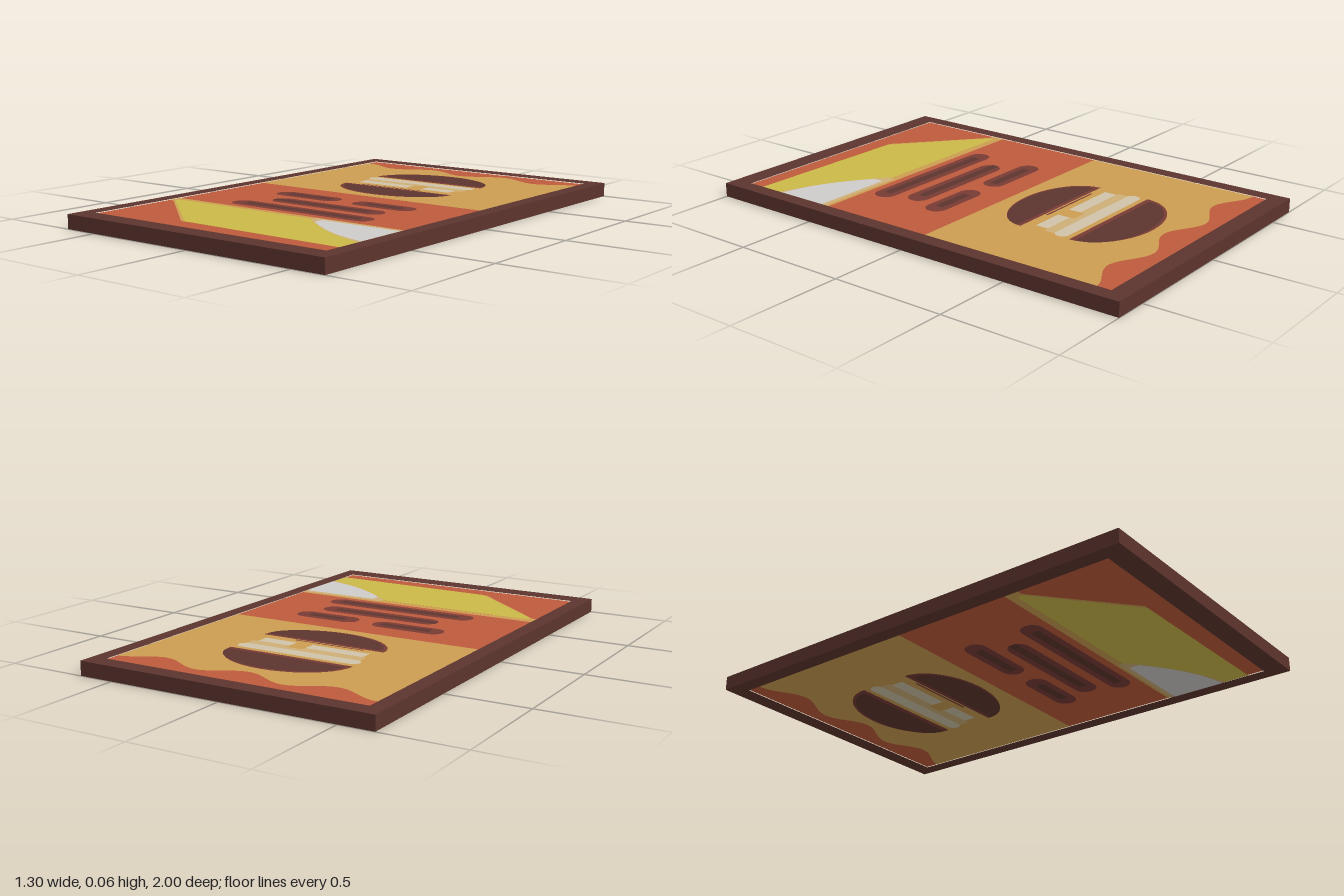
import * as THREE from 'three';

const mat = (name, color) => {
  const m = new THREE.MeshStandardMaterial({ color });
  m.name = name;
  return m;
};
const brown = mat('darkBrown', 0x5c342d);
const maroon = mat('maroon', 0x783b34);
const orange = mat('burntOrange', 0xbe5a3b);
const tan = mat('tan', 0xcd9d51);
const paleTan = mat('paleTan', 0xcdae76);
const cream = mat('cream', 0xcfc3a8);
const yellow = mat('mustardYellow', 0xcbb848);
const white = mat('offWhite', 0xcecccb);

const H = 0.06, W = 1.3, L = 2;
const EDGE = 0.585; // half width of the picture

// Outline helpers, all in plan coordinates [x, z]
const rect = (x0, x1, z0, z1) => [[x0, z0], [x1, z0], [x1, z1], [x0, z1]];

// Points along an arc of half a turn, with separate radii
function halfTurn(xc, zc, rx, rz, start, steps) {
  return Array.from({ length: steps + 1 }, (_, i) => {
    const a = start + (i / steps) * Math.PI;
    return [xc + rx * Math.cos(a), zc + rz * Math.sin(a)];
  });
}

function pill(x0, x1, z0, z1) {
  const r = (z1 - z0) / 2, zc = (z0 + z1) / 2;
  return [
    ...halfTurn(x0 + r, zc, r, r, Math.PI / 2, 8),
    ...halfTurn(x1 - r, zc, r, r, -Math.PI / 2, 8),
  ];
}

// Half ellipse from a straight base to its crown
const dome = (x0, x1, zBase, zCrown) =>
  halfTurn((x0 + x1) / 2, zBase, (x1 - x0) / 2, zCrown - zBase, 0, 20);

// Upper field with a scalloped far edge
function scallopedField(zNear) {
  const pts = [];
  for (let i = 0; i <= 48; i++) {
    const x = -EDGE + (i / 48) * 2 * EDGE;
    pts.push([x, -0.827 + 0.037 * -Math.cos(2 * Math.PI * (x - 0.01) / 0.39 + Math.PI)]);
  }
  return [...pts, [EDGE, zNear], [-EDGE, zNear]];
}

// Corner patch with a bowed slanting edge
function cornerPatch(x0, z0, zSide, zEnd) {
  const pts = [[x0, z0], [EDGE, z0]];
  for (let i = 0; i <= 6; i++) {
    const t = i / 6;
    pts.push([EDGE + (x0 - EDGE) * t, zEnd + (zSide - zEnd) * t + 0.03 * Math.sin(Math.PI * t)]);
  }
  return pts;
}

// Flat face from an outline, facing up (side 1) or down (side -1)
function face(points, side) {
  const shape = new THREE.Shape(points.map(([x, z]) => new THREE.Vector2(x, -side * z)));
  return new THREE.ShapeGeometry(shape).rotateX(-side * Math.PI / 2);
}

const panel = rect(-EDGE, EDGE, -0.925, 0.912);

function createPicture(side) {
  const picture = new THREE.Group();
  picture.name = side > 0 ? 'topPicture' : 'bottomPicture';
  const paint = (name, material, layer, points) => {
    const mesh = new THREE.Mesh(face(points, side), material);
    mesh.name = name;
    mesh.position.y = H / 2 + side * (H / 2 - 0.003 + layer * 0.0007);
    picture.add(mesh);
  };

  paint('picturePanel', orange, 0, panel);
  paint('upperField', tan, 1, scallopedField(-0.068));

  // Bun halves with thin rims
  paint('topBunRim', maroon, 2, dome(-0.285, 0.282, -0.535, -0.737));
  paint('topBun', brown, 3, dome(-0.262, 0.278, -0.558, -0.725));
  paint('bottomBunRim', maroon, 2, dome(-0.285, 0.282, -0.302, -0.12));
  paint('bottomBun', brown, 3, dome(-0.262, 0.278, -0.285, -0.13));
  paint('bunLine', maroon, 2, rect(-0.2, 0.12, -0.318, -0.309));

  // Filling
  paint('fillingShade', paleTan, 2, rect(-0.265, 0.265, -0.47, -0.405));
  paint('fillingBar', cream, 3, pill(-0.285, 0.28, -0.512, -0.452));
  paint('fillingLeft', cream, 3, rect(-0.25, 0.015, -0.405, -0.348));
  paint('fillingRight', cream, 3, rect(0.09, 0.24, -0.405, -0.348));
  paint('fillingNotch', tan, 3, rect(0.015, 0.09, -0.425, -0.4));

  // Rounded bars with dark cores
  const bar = (x0, x1, z, coreX0, coreX1) => {
    paint('bar', maroon, 2, pill(x0, x1, z - 0.048, z + 0.048));
    paint('barCore', brown, 3, rect(coreX0, coreX1, z - 0.019, z + 0.019));
  };
  bar(-0.345, -0.01, 0.092, -0.285, -0.05);
  bar(0.065, 0.37, 0.092, 0.13, 0.31);
  bar(-0.245, 0.32, 0.231, -0.245, 0.255);
  bar(-0.345, 0.37, 0.37, -0.28, 0.315);

  // Lower bands
  paint('bandStrip', tan, 1, rect(-EDGE, EDGE, 0.452, 0.49));
  paint('bandEnd', tan, 1, rect(-EDGE, -0.55, 0.49, 0.515));
  paint('bandFringe', tan, 2, [[-0.55, 0.487], [-0.4, 0.487], [-0.17, 0.825], [-0.2, 0.825], [-0.56, 0.515]]);
  paint('yellowBand', yellow, 3, [[-0.55, 0.487], [EDGE, 0.487], [EDGE, 0.84], [-0.18, 0.825], [-0.55, 0.515]]);
  paint('cornerFringe', paleTan, 4, cornerPatch(0.17, 0.465, 0.5, 0.735));
  paint('whiteCorner', white, 5, cornerPatch(0.22, 0.487, 0.535, 0.72));
  return picture;
}

export function createModel() {
  const group = new THREE.Group();

  // Frame with an opening for the picture
  const toPlan = ([x, z]) => new THREE.Vector2(x, -z);
  const outline = new THREE.Shape(rect(-W / 2, W / 2, -L / 2, L / 2).map(toPlan));
  outline.holes.push(new THREE.Path(panel.map(toPlan)));
  const frame = new THREE.Mesh(
    new THREE.ExtrudeGeometry(outline, { depth: H, bevelEnabled: false }).rotateX(-Math.PI / 2), brown);
  frame.name = 'frame';
  group.add(frame);

  // The same picture shows on the upper and lower faces
  group.add(createPicture(1), createPicture(-1));
  return group;
}
